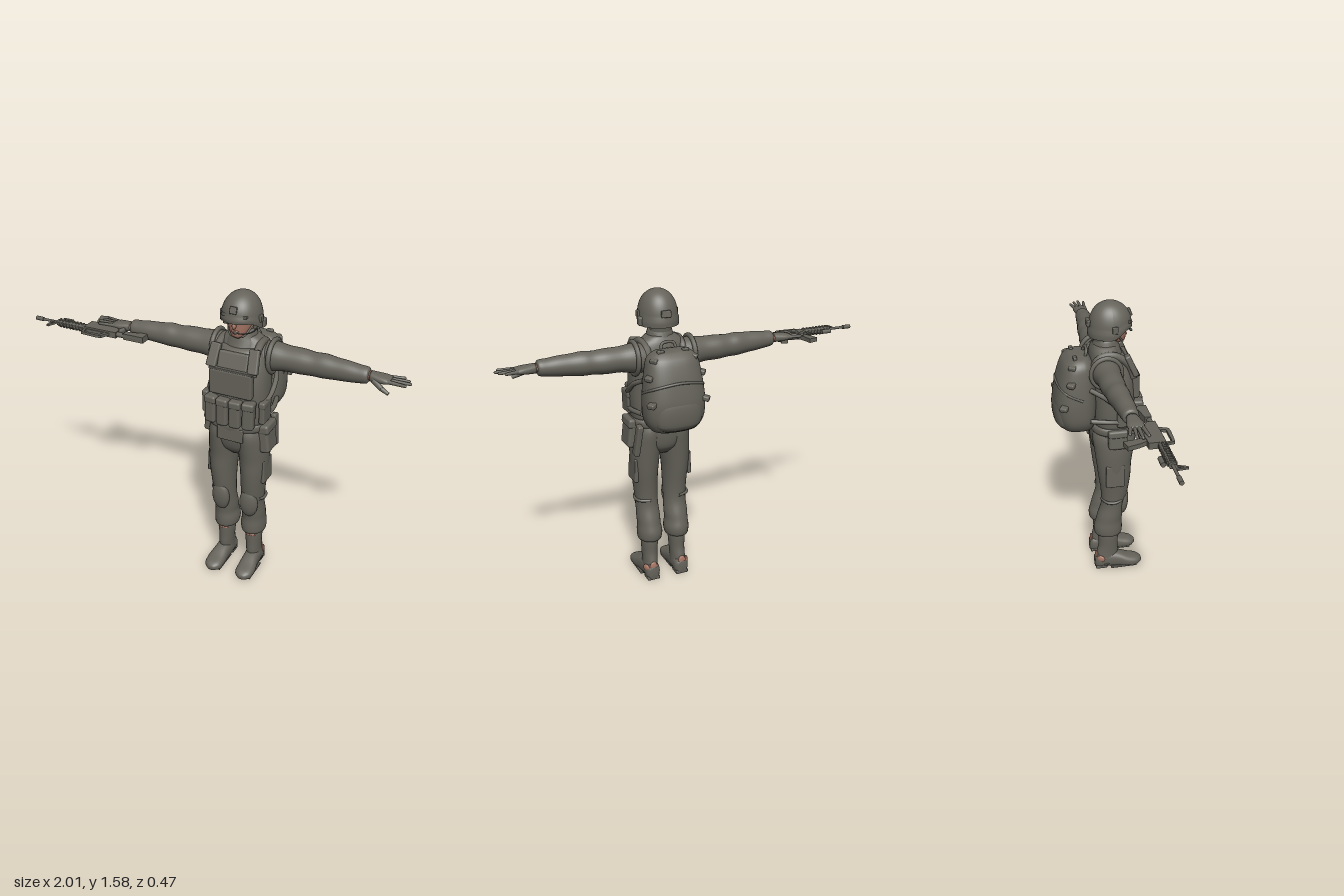
import * as THREE from 'three';
import { RoundedBoxGeometry } from 'three/addons/geometries/RoundedBoxGeometry.js';

const mat = (name, color, side = THREE.FrontSide) => {
  const m = new THREE.MeshStandardMaterial({ color, side });
  m.name = name;
  return m;
};

export function createModel() {
  const cloth = mat('olive grey', 0x65635a, THREE.DoubleSide);
  const skin = mat('skin', 0xa87766);
  const dark = mat('dark lens', 0x3c3d3d);
  const model = new THREE.Group();
  const body = new THREE.Group();
  body.name = 'soldier';
  body.position.x = 0.175;
  const rifle = new THREE.Group();
  rifle.name = 'rifle';
  model.add(body, rifle);

  const add = (name, geo, m = cloth, pos = [0, 0, 0], rot = [0, 0, 0], parent = body) => {
    const mesh = new THREE.Mesh(geo, m);
    mesh.name = name;
    mesh.position.set(...pos);
    mesh.rotation.set(...rot);
    parent.add(mesh);
    return mesh;
  };
  const box = (name, size, pos, rot, m, parent) =>
    add(name, new RoundedBoxGeometry(...size, 2, Math.min(...size) * 0.28), m, pos, rot, parent);
  const tube = (name, pts, r, m, parent) => add(name, new THREE.TubeGeometry(
    new THREE.CatmullRomCurve3(pts.map((p) => new THREE.Vector3(...p))), 20, r, 8), m, undefined, undefined, parent);
  const ball = (name, size, pos, rot, m) => {
    const g = new THREE.SphereGeometry(1, 20, 14);
    g.scale(...size);
    return add(name, g, m, pos, rot);
  };
  // Tapered round bar between two points
  const bar = (name, a, b, r1, r2, m, parent) => {
    const p = new THREE.Vector3(...a), q = new THREE.Vector3(...b);
    const mesh = add(name, new THREE.CylinderGeometry(r2, r1, p.distanceTo(q), 12), m, undefined, undefined, parent);
    mesh.position.copy(p).lerp(q, 0.5);
    mesh.quaternion.setFromUnitVectors(new THREE.Vector3(0, 1, 0), q.sub(p).normalize());
    return mesh;
  };
  // Smooth skin over superellipse rows [along, centreA, centreB, radiusA, radiusB]
  const loft = (name, rows, { axis = 'y', n = 2, m = cloth, seg = 28, sub = 4 } = {}) => {
    if (rows[0][0] > rows[rows.length - 1][0]) rows = [...rows].reverse();
    const place = { y: (t, a, b) => [a, t, b], x: (t, a, b) => [t, a, b], z: (t, a, b) => [a, b, t] }[axis];
    const flip = axis === 'y' ? 1 : -1;
    const mid = new THREE.CatmullRomCurve3(rows.map((r) => new THREE.Vector3(r[0], r[1], r[2])), false, 'centripetal');
    const rad = new THREE.CatmullRomCurve3(rows.map((r) => new THREE.Vector3(r[0], r[3], r[4])), false, 'centripetal');
    const steps = (rows.length - 1) * sub, pos = [], idx = [];
    const pw = (v) => Math.sign(v) * Math.abs(v) ** (2 / n);
    for (let j = 0; j <= steps; j++) {
      const c = mid.getPoint(j / steps), r = rad.getPoint(j / steps);
      for (let i = 0; i < seg; i++) {
        const a = (i / seg) * Math.PI * 2;
        pos.push(...place(c.x, c.y + r.y * pw(Math.cos(a)), c.z + flip * r.z * pw(Math.sin(a))));
        const k = j * seg + i, k2 = j * seg + ((i + 1) % seg);
        if (j < steps) idx.push(k, k + seg, k2, k2, k + seg, k2 + seg);
      }
    }
    const s = (steps + 1) * seg, e = s + 1, f = rows[0], l = rows[rows.length - 1];
    pos.push(...place(f[0], f[1], f[2]), ...place(l[0], l[1], l[2]));
    for (let i = 0; i < seg; i++) {
      const i2 = (i + 1) % seg, o = steps * seg;
      idx.push(s, i, i2, e, o + i2, o + i);
    }
    const g = new THREE.BufferGeometry();
    g.setAttribute('position', new THREE.Float32BufferAttribute(pos, 3));
    g.setIndex(idx);
    g.computeVertexNormals();
    return add(name, g, m);
  };

  // Torso, vest and collar
  loft('jacket', [[0.88, 0, 0.075, 0.14, 0.11], [1.0, 0, 0.07, 0.145, 0.1], [1.15, 0, 0.06, 0.15, 0.1],
    [1.26, 0, 0.045, 0.15, 0.09], [1.325, 0, 0.035, 0.12, 0.07], [1.36, 0, 0.04, 0.07, 0.06]], { n: 2.3 });
  loft('vest', [[0.92, 0, 0.078, 0.148, 0.108], [1.0, 0, 0.078, 0.156, 0.112], [1.1, 0, 0.078, 0.156, 0.115],
    [1.2, 0, 0.07, 0.15, 0.11], [1.26, 0, 0.06, 0.135, 0.1], [1.31, 0, 0.05, 0.115, 0.08]], { n: 2.6 });
  loft('collar', [[1.29, 0, 0.05, 0.095, 0.085], [1.33, 0, 0.045, 0.085, 0.075], [1.355, 0, 0.045, 0.07, 0.068],
    [1.385, 0, 0.045, 0.06, 0.058], [1.39, 0, 0.045, 0.052, 0.05]]);
  box('chestPanel', [0.225, 0.135, 0.04], [0, 1.148, 0.183]);
  box('upperChestPanel', [0.16, 0.09, 0.04], [0, 1.25, 0.153], [-0.35, 0, 0]);
  box('chestFlap', [0.23, 0.012, 0.045], [0, 1.215, 0.178]);
  for (let i = 0; i < 4; i++) {
    const x = -0.099 + i * 0.066, z = Math.abs(x) > 0.05 ? 0.193 : 0.202;
    box('magazinePouch', [0.06, 0.145, 0.055], [x, 0.995, z], [0, x * 1.2, 0]);
    box('pouchFlap', [0.063, 0.04, 0.06], [x, 1.05, z], [0, x * 1.2, 0]);
  }
  // Belt and pouches
  loft('belt', [[0.885, 0, 0.075, 0.15, 0.117], [0.895, 0, 0.075, 0.156, 0.123], [0.92, 0, 0.075, 0.156, 0.123],
    [0.93, 0, 0.075, 0.148, 0.115]], { n: 2.4 });
  box('groinFlap', [0.14, 0.075, 0.02], [0, 0.868, 0.187]);
  box('holster', [0.055, 0.15, 0.115], [0.155, 0.845, 0.085], [0, 0, 0.12]);
  box('holsterFlap', [0.06, 0.05, 0.12], [0.152, 0.9, 0.085], [0, 0, 0.12]);
  box('knifeSheath', [0.03, 0.17, 0.045], [0.152, 0.83, -0.018], [-0.15, 0, 0.1]);
  box('hipPouch', [0.05, 0.1, 0.1], [-0.15, 0.867, 0.08], [0, 0, -0.1]);
  box('hipPouchFlap', [0.055, 0.04, 0.105], [-0.15, 0.905, 0.08], [0, 0, -0.1]);

  // Helmet: dome whose rim drops over the ears and nape
  const dome = new THREE.SphereGeometry(1, 40, 20, 0, Math.PI * 2, 0, Math.PI * 0.55);
  const dp = dome.attributes.position;
  for (let i = 0; i < dp.count; i++) {
    const y = dp.getY(i), z = dp.getZ(i), low = Math.max(0, 1 - y);
    const drop = 0.3 * low * low * THREE.MathUtils.smoothstep(-z, -0.75, 0.1);
    const flare = y < 0.05 ? 1.04 : 1;
    dp.setXYZ(i, dp.getX(i) * 0.1 * flare, (y - drop) * 0.112, z * 0.11 * flare);
  }
  dome.computeVertexNormals();
  add('helmet', dome, cloth, [0, 1.468, 0.066]);
  box('helmetMount', [0.035, 0.035, 0.015], [0, 1.515, 0.168], [-0.35, 0, 0]);
  box('helmetRearClip', [0.05, 0.035, 0.018], [0, 1.475, -0.046], [0.15, 0, 0]);
  // Head
  loft('head', [[1.362, 0, 0.105, 0.02, 0.024], [1.372, 0, 0.1, 0.036, 0.043], [1.4, 0, 0.085, 0.053, 0.064],
    [1.44, 0, 0.078, 0.063, 0.075], [1.49, 0, 0.075, 0.068, 0.082], [1.53, 0, 0.07, 0.055, 0.06]], { m: skin });
  loft('neck', [[1.33, 0, 0.045, 0.048, 0.048], [1.42, 0, 0.045, 0.05, 0.05]], { m: skin });
  loft('nape', [[1.36, 0, 0.03, 0.054, 0.045], [1.45, 0, 0.028, 0.058, 0.05]]);
  ball('nose', [0.011, 0.02, 0.014], [0, 1.437, 0.156], [-0.3, 0, 0], skin);
  ball('mouth', [0.02, 0.006, 0.008], [0, 1.402, 0.147], [0, 0, 0], skin);
  box('goggleFrame', [0.13, 0.014, 0.03], [0, 1.484, 0.147]);
  for (const s of [-1, 1]) {
    ball('goggleLens', [0.031, 0.021, 0.012], [s * 0.032, 1.466, 0.147], [0, s * 0.4, 0], dark);
    box('goggleStrap', [0.008, 0.018, 0.09], [s * 0.067, 1.468, 0.09], [0, s * -0.08, 0]);
    tube('chinStrap', [[s * 0.072, 1.45, 0.075], [s * 0.058, 1.41, 0.1], [s * 0.035, 1.375, 0.125], [0, 1.366, 0.132]], 0.005);
    box('earCover', [0.028, 0.065, 0.06], [s * 0.08, 1.435, 0.06]);
    box('helmetSideClip', [0.016, 0.035, 0.03], [s * 0.1, 1.46, 0.075]);
  }
  box('headsetRadio', [0.03, 0.045, 0.035], [0.098, 1.43, 0.045]);
  tube('microphoneBoom', [[0.09, 1.42, 0.07], [0.08, 1.405, 0.12], [0.05, 1.405, 0.165], [0.02, 1.41, 0.18]], 0.003, dark);
  ball('microphone', [0.012, 0.007, 0.007], [0.015, 1.41, 0.18], [0, 0, 0], dark);

  for (const s of [-1, 1]) {
    // Arm with soft sleeve folds
    loft('sleeve', [[0.08, 1.25, 0.02, 0.07, 0.07], [0.15, 1.255, 0.02, 0.075, 0.072], [0.22, 1.257, 0.022, 0.064, 0.064],
      [0.3, 1.257, 0.022, 0.063, 0.062], [0.36, 1.257, 0.025, 0.058, 0.056], [0.41, 1.259, 0.026, 0.06, 0.056],
      [0.47, 1.259, 0.03, 0.054, 0.05], [0.53, 1.26, 0.033, 0.05, 0.047], [0.58, 1.26, 0.035, 0.044, 0.043],
      [0.625, 1.262, 0.036, 0.038, 0.038], [0.632, 1.262, 0.036, 0.028, 0.028]].map(([x, ...r]) => [s * x, ...r]), { axis: 'x' });
    const ring = add('armholeEdge', new THREE.TorusGeometry(0.078, 0.012, 10, 32), cloth, [s * 0.15, 1.255, 0.02], [0, Math.PI / 2, 0]);
    ring.scale.set(1, 1.04, 1);
    // Gloved hand
    loft('wrist', [[0.62, 1.263, 0.036, 0.022, 0.026], [0.645, 1.263, 0.037, 0.021, 0.026]].map(([x, ...r]) => [s * x, ...r]),
      { axis: 'x', m: skin });
    loft('palm', [[0.638, 1.263, 0.037, 0.024, 0.028], [0.67, 1.262, 0.038, 0.022, 0.035], [0.71, 1.262, 0.038, 0.018, 0.04],
      [0.738, 1.262, 0.038, 0.01, 0.036]].map(([x, ...r]) => [s * x, ...r]), { axis: 'x', n: 2.4 });
    [[0.785, -0.005], [0.812, 0.02], [0.825, 0.045], [0.808, 0.075]].forEach(([x, z], i) => {
      const root = [s * 0.72, 1.263, 0.011 + i * 0.018];
      bar('finger', root, [s * x, 1.264, z], 0.01, 0.007);
      ball('fingertip', [0.007, 0.007, 0.007], [s * x, 1.264, z]);
    });
    bar('thumb', [s * 0.66, 1.255, 0.06], [s * 0.705, 1.23, 0.082], 0.016, 0.012);
    bar('thumbTip', [s * 0.7, 1.232, 0.08], [s * 0.74, 1.215, 0.088], 0.012, 0.008);
    // Shoulder straps and side gear
    tube('shoulderStrap', [[s * 0.105, 1.2, 0.17], [s * 0.105, 1.27, 0.145], [s * 0.1, 1.325, 0.07], [s * 0.095, 1.31, -0.01],
      [s * 0.09, 1.22, -0.05]], 0.02);
    box('strapPad', [0.052, 0.12, 0.03], [s * 0.105, 1.268, 0.158], [-0.42, 0, s * 0.08]);
    box('sidePouch', [0.03, 0.11, 0.09], [s * 0.153, 1.0, 0.12]);
    box('sidePouchFlap', [0.034, 0.035, 0.094], [s * 0.153, 1.045, 0.12]);
    tube('packSideStrap', [[s * 0.14, 1.04, 0.15], [s * 0.162, 1.07, 0.08], [s * 0.158, 1.13, 0], [s * 0.13, 1.16, -0.06]], 0.013);
    tube('packWaistStrap', [[s * 0.155, 0.97, 0.1], [s * 0.16, 0.98, 0.03], [s * 0.14, 0.985, -0.06]], 0.013);

    // Trouser leg, knee pad
    loft('trouserLeg', [[0.225, 0.078, 0.045, 0.045, 0.05], [0.235, 0.078, 0.045, 0.062, 0.074], [0.275, 0.077, 0.044, 0.067, 0.08],
      [0.32, 0.079, 0.048, 0.062, 0.073], [0.36, 0.079, 0.055, 0.063, 0.07], [0.43, 0.08, 0.07, 0.06, 0.065],
      [0.52, 0.083, 0.078, 0.063, 0.075], [0.62, 0.086, 0.077, 0.07, 0.088], [0.7, 0.084, 0.074, 0.076, 0.095],
      [0.78, 0.08, 0.075, 0.08, 0.106], [0.86, 0.075, 0.075, 0.076, 0.115], [0.92, 0.06, 0.075, 0.07, 0.1]]
      .map(([y, x, ...r]) => [y, s * x, ...r]));
    ball('kneePad', [0.05, 0.085, 0.03], [s * 0.08, 0.44, 0.127], [0.08, s * 0.1, 0]);
    tube('kneeStrap', [[s * 0.132, 0.47, 0.11], [s * 0.145, 0.465, 0.075], [s * 0.135, 0.465, 0.03], [s * 0.08, 0.465, 0.005]], 0.008);
    box('thighPocket', [0.022, 0.13, 0.1], [s * 0.148, 0.64, 0.07], [0, 0, s * 0.04]);
    // Boot
    loft('bootShaft', [[0.03, 0.083, 0.03, 0.042, 0.055], [0.1, 0.081, 0.04, 0.039, 0.06], [0.15, 0.08, 0.045, 0.041, 0.055],
      [0.22, 0.079, 0.045, 0.045, 0.056], [0.235, 0.079, 0.045, 0.042, 0.052]].map(([y, x, ...r]) => [y, s * x, ...r]));
    loft('bootFoot', [[-0.032, 0.083, 0.04, 0.025, 0.034], [-0.015, 0.083, 0.045, 0.038, 0.045], [0.04, 0.083, 0.05, 0.041, 0.05],
      [0.1, 0.086, 0.046, 0.043, 0.046], [0.16, 0.09, 0.034, 0.049, 0.034], [0.21, 0.09, 0.028, 0.043, 0.025],
      [0.235, 0.09, 0.026, 0.018, 0.012]].map(([z, x, ...r]) => [z, s * x, ...r]), { axis: 'z', n: 2.5 });
    box('bootHeel', [0.07, 0.02, 0.065], [s * 0.083, 0.01, 0.003]);
    box('bootSole', [0.082, 0.014, 0.15], [s * 0.089, 0.009, 0.13]);
    // Bare patches at the heel and the boot top
    ball('heelPatch', [0.009, 0.02, 0.022], [s * 0.117, 0.07, -0.002], [0, s * 0.45, 0], skin);
    ball('rearHeelPatch', [0.022, 0.028, 0.008], [s * 0.083, 0.08, -0.022], [0, 0, 0], skin);
    ball('bootTopPatch', [0.03, 0.008, 0.008], [s * 0.079, 0.217, 0.096], [0, 0, 0], skin);
  }
  loft('seat', [[0.725, 0, 0.07, 0.05, 0.06], [0.77, 0, 0.072, 0.11, 0.1], [0.84, 0, 0.075, 0.148, 0.116],
    [0.9, 0, 0.075, 0.148, 0.116]], { n: 2.3 });

  // Backpack
  loft('backpack', [[0.9, 0, -0.1, 0.07, 0.05], [0.92, 0, -0.112, 0.12, 0.086], [0.97, 0, -0.12, 0.15, 0.102],
    [1.05, 0, -0.124, 0.157, 0.11], [1.13, 0, -0.12, 0.152, 0.105], [1.22, 0, -0.112, 0.14, 0.092],
    [1.28, 0, -0.105, 0.125, 0.075], [1.31, 0, -0.1, 0.09, 0.045], [1.315, 0, -0.1, 0.04, 0.02]], { n: 2.7, seg: 40 });
  loft('packPocket', [[0.93, 0, -0.175, 0.09, 0.04], [0.96, 0, -0.175, 0.12, 0.058], [1.05, 0, -0.175, 0.125, 0.062],
    [1.09, 0, -0.17, 0.115, 0.052], [1.1, 0, -0.16, 0.09, 0.03]], { n: 2.6 });
  tube('packSeam', [[-0.152, 1.11, -0.1], [-0.13, 1.15, -0.185], [0, 1.175, -0.218], [0.13, 1.15, -0.185], [0.152, 1.11, -0.1]], 0.007);
  tube('packHandle', [[-0.04, 1.3, -0.07], [-0.03, 1.335, -0.06], [0.03, 1.335, -0.06], [0.04, 1.3, -0.07]], 0.008);
  for (const s of [-1, 1]) {
    [[0.1, 1.28, -0.14], [0.135, 1.2, -0.155], [0.14, 1.075, -0.195]].forEach((p) =>
      box('packBuckle', [0.045, 0.025, 0.04], [s * p[0], p[1], p[2]], [0, s * 0.6, s * -0.2]));
    box('packTopTab', [0.035, 0.035, 0.02], [s * 0.065, 1.305, -0.125]);
  }

  // Rifle lying flat: muzzle toward -x, sights toward +z
  const Y = 1.243;
  const part = (name, size, x, z, m) => box(name, size, [x, Y, z], [0, 0, 0], m, rifle);
  const plate = (name, outline, thick, hole) => {
    const shape = new THREE.Shape(outline.map((p) => new THREE.Vector2(...p)));
    if (hole) shape.holes.push(new THREE.Path(hole.map((p) => new THREE.Vector2(...p))));
    const g = new THREE.ExtrudeGeometry(shape, { depth: thick, bevelEnabled: false });
    g.rotateX(Math.PI / 2);
    add(name, g, cloth, [0, Y + thick / 2, 0], [0, 0, 0], rifle);
  };
  bar('barrel', [-0.98, Y, 0.12], [-0.68, Y, 0.12], 0.007, 0.008, cloth, rifle);
  bar('muzzle', [-1, Y, 0.12], [-0.955, Y, 0.12], 0.011, 0.011, cloth, rifle);
  bar('handguard', [-0.86, Y, 0.12], [-0.69, Y, 0.12], 0.018, 0.02, cloth, rifle);
  for (let i = 0; i < 8; i++) {
    part('railRib', [0.012, 0.046, 0.02], -0.845 + i * 0.02, 0.12);
    part('railRib', [0.012, 0.02, 0.046], -0.845 + i * 0.02, 0.12);
  }
  plate('frontSight', [[-0.9, 0.12], [-0.86, 0.12], [-0.885, 0.18], [-0.895, 0.18]], 0.01, [[-0.89, 0.135], [-0.875, 0.135], [-0.887, 0.16]]);
  bar('flashlight', [-0.85, Y, 0.083], [-0.795, Y, 0.083], 0.012, 0.012, cloth, rifle);
  plate('receiver', [[-0.69, 0.06], [-0.62, 0.055], [-0.52, 0.08], [-0.5, 0.1], [-0.5, 0.135], [-0.69, 0.138]], 0.032);
  plate('carryHandle', [[-0.69, 0.135], [-0.54, 0.135], [-0.56, 0.182], [-0.59, 0.186], [-0.68, 0.18]], 0.014,
    [[-0.675, 0.142], [-0.565, 0.142], [-0.575, 0.168], [-0.67, 0.168]]);
  plate('magazine', [[-0.66, 0.065], [-0.625, 0.06], [-0.64, 0], [-0.645, -0.045], [-0.695, -0.033], [-0.68, 0.02]], 0.022);
  plate('pistolGrip', [[-0.57, 0.075], [-0.535, 0.085], [-0.505, 0.015], [-0.54, 0.005]], 0.026);
  plate('triggerGuard', [[-0.625, 0.065], [-0.56, 0.075], [-0.56, 0.04], [-0.62, 0.035]], 0.01,
    [[-0.617, 0.06], [-0.568, 0.068], [-0.568, 0.047], [-0.614, 0.042]]);
  bar('bufferTube', [-0.51, Y, 0.118], [-0.36, Y, 0.118], 0.013, 0.013, cloth, rifle);
  plate('stock', [[-0.46, 0.13], [-0.345, 0.13], [-0.345, 0.06], [-0.365, 0.058], [-0.385, 0.085], [-0.46, 0.098]], 0.032);
  return model;
}
